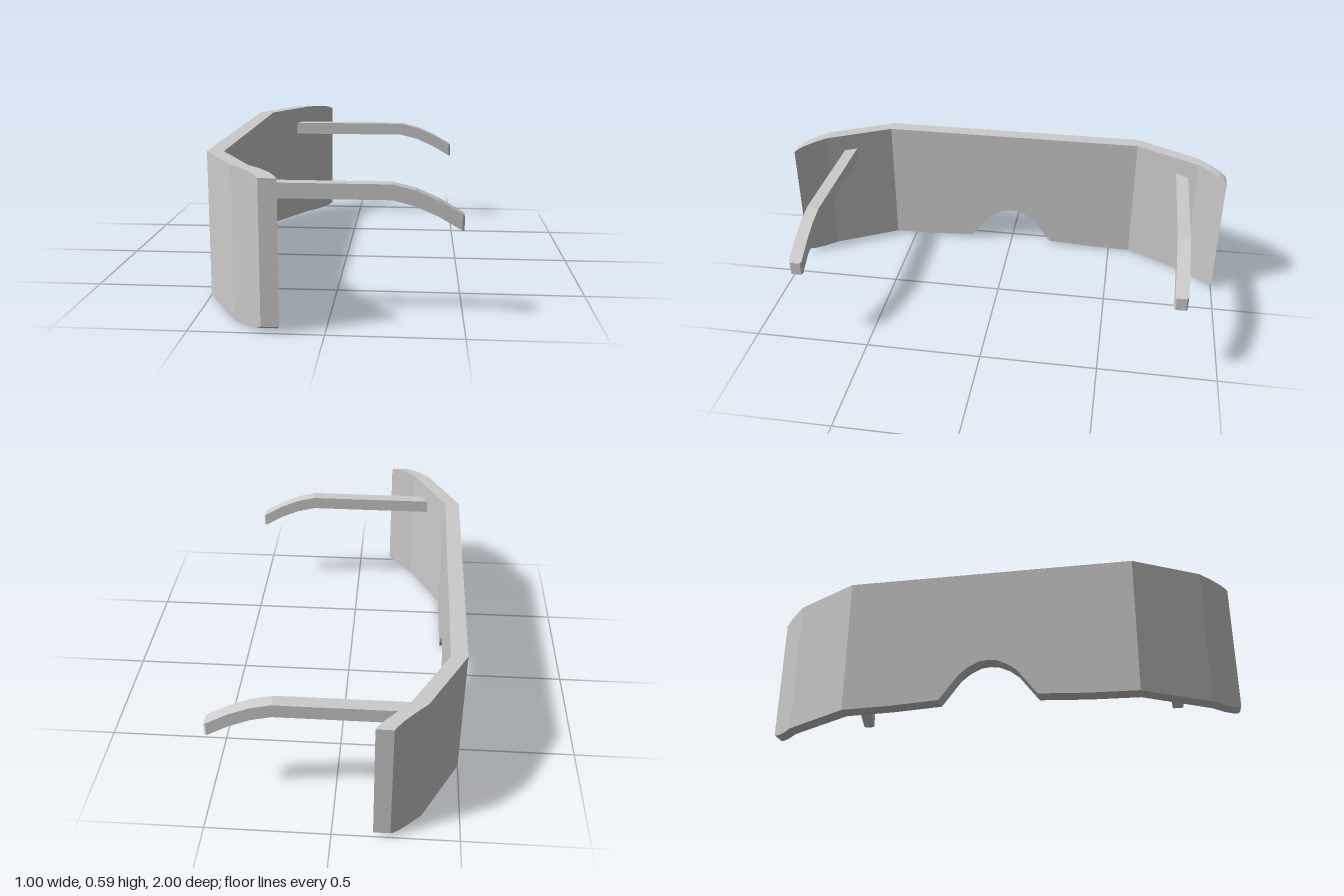
import * as THREE from 'three';

const material = new THREE.MeshStandardMaterial({ color: 0xcccccc, flatShading: true });

// Skins a row of four-cornered sections and caps both ends
// (corners run counter-clockwise seen from the far end).
function loft(name, rings) {
  const pos = [];
  const quad = (a, b, c, d) => pos.push(...a, ...b, ...c, ...a, ...c, ...d);
  for (let i = 0; i < rings.length - 1; i++) {
    const r = rings[i], s = rings[i + 1];
    for (let j = 0; j < 4; j++) {
      const k = (j + 1) % 4;
      quad(r[j], r[k], s[k], s[j]);
    }
  }
  const first = rings[0], last = rings[rings.length - 1];
  quad(first[0], first[3], first[2], first[1]);
  quad(last[0], last[1], last[2], last[3]);
  const geometry = new THREE.BufferGeometry();
  geometry.setAttribute('position', new THREE.Float32BufferAttribute(pos, 3));
  geometry.computeVertexNormals();
  const mesh = new THREE.Mesh(geometry, material);
  mesh.name = name;
  return mesh;
}

// Wraparound visor with a nose notch and rounded outer corners
function makeVisor() {
  // distance from centre, outer x, bottom y, top y
  const half = [
    [0, -0.5, 0.18, 0.59],
    [0.035, -0.5, 0.176, 0.59],
    [0.08, -0.5, 0.155, 0.59],
    [0.12, -0.5, 0.123, 0.59],
    [0.2, -0.5, 0.017, 0.59],
    [0.4, -0.5, 0.006, 0.59],
    [0.6, -0.5, 0.002, 0.59],
    [0.88, -0.35, 0, 0.59],
    [0.93, -0.3, 0.002, 0.588],
    [0.97, -0.26, 0.009, 0.582],
    [0.99, -0.24, 0.017, 0.574],
    [1, -0.23, 0.025, 0.567],
  ];
  const mirrored = half.slice(1).reverse().map(([z, ...rest]) => [-z, ...rest]);
  const thickness = 0.067;
  return loft('visor', [...mirrored, ...half].map(([z, x, bottom, top]) => [
    [x, bottom, z], [x + thickness, bottom, z], [x + thickness, top, z], [x, top, z],
  ]));
}

// Temple arm: straight bar that curves down behind the ear, bevelled at the tip
function makeArm(name, z) {
  // x, bottom y, top y, half width
  const sections = [
    [-0.355, 0.453, 0.512, 0.027],
    [0.23, 0.453, 0.512, 0.027],
    [0.315, 0.432, 0.491, 0.027],
    [0.4, 0.395, 0.454, 0.027],
    [0.487, 0.344, 0.404, 0.027],
    [0.495, 0.342, 0.398, 0.021],
  ];
  return loft(name, sections.map(([x, bottom, top, w]) => [
    [x, bottom, z - w], [x, top, z - w], [x, top, z + w], [x, bottom, z + w],
  ]));
}

export function createModel() {
  const group = new THREE.Group();
  group.name = 'visorGlasses';
  group.add(makeVisor(), makeArm('frontArm', 0.781), makeArm('backArm', -0.813));
  return group;
}
